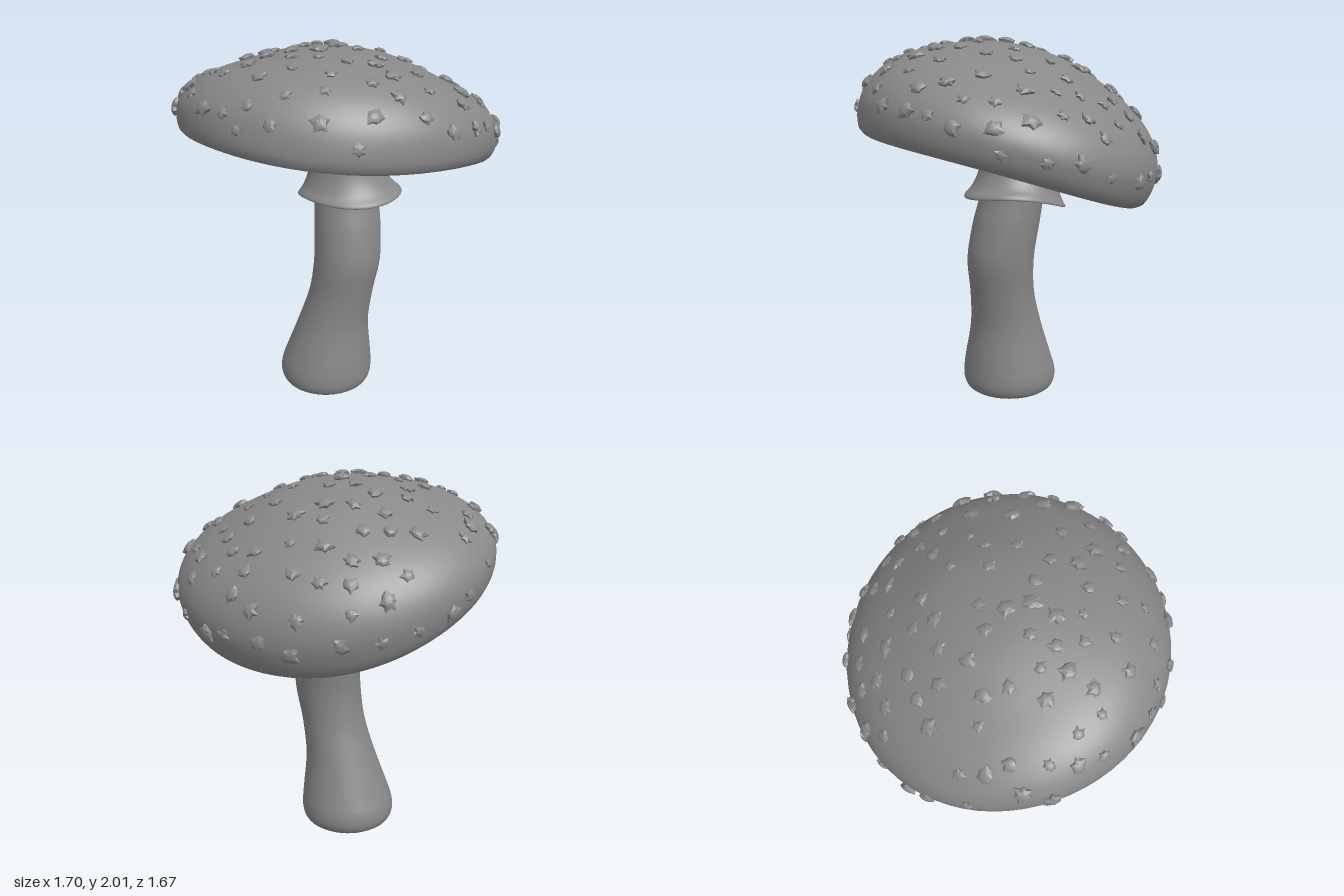
import * as THREE from 'three';

const V2 = (a) => a.map(([x, y]) => new THREE.Vector2(x, y));
const V3 = (a) => a.map((p) => new THREE.Vector3(...p));

// small seeded generator
let seed = 11;
const rnd = () => {
  seed = (seed * 1664525 + 1013904223) % 4294967296;
  return seed / 4294967296;
};

// closed loft: rows run from the bottom up, each a ring of seg points
function loft(rows, seg, point) {
  const pos = [], index = [];
  for (let i = 0; i <= rows; i++)
    for (let j = 0; j < seg; j++) {
      const p = point(i / rows, (j / seg) * Math.PI * 2, i, j);
      pos.push(p.x, p.y, p.z);
    }
  for (let i = 0; i < rows; i++)
    for (let j = 0; j < seg; j++) {
      const k = (j + 1) % seg;
      const a = i * seg + j, b = i * seg + k, c = b + seg, d = a + seg;
      index.push(a, b, c, a, c, d);
    }
  const g = new THREE.BufferGeometry();
  g.setAttribute('position', new THREE.Float32BufferAttribute(pos, 3));
  g.setIndex(index);
  g.computeVertexNormals();
  return g;
}

const color = 0x888888;
const smooth = new THREE.MeshStandardMaterial({ color, side: THREE.DoubleSide });
const faceted = new THREE.MeshStandardMaterial({ color, side: THREE.DoubleSide, flatShading: true });

function part(name, geometry, material = smooth) {
  const m = new THREE.Mesh(geometry, material);
  m.name = name;
  return m;
}

// cap profiles (radius, height)
const capProfile = new THREE.SplineCurve(V2([
  [0.795, -0.018], [0.82, 0.005], [0.838, 0.07], [0.834, 0.17], [0.78, 0.275],
  [0.675, 0.37], [0.5, 0.46], [0.27, 0.545], [0.1, 0.572], [0.0005, 0.575]]));
const gillProfile = new THREE.SplineCurve(V2([
  [0.08, 0.24], [0.2, 0.175], [0.4, 0.11], [0.6, 0.062], [0.73, 0.015], [0.797, -0.016]]));

// warp the rim into a saddle and stretch it along one diagonal
function bend(r, h, a) {
  const s = Math.sin(2 * a), rim = (r / 0.84) * THREE.MathUtils.clamp(1 - h / 0.45, 0, 1);
  const lift = rim * (0.015 - 0.035 * Math.cos(2 * a) - 0.05 * s);
  const q = r * (1 - 0.018 * s);
  return new THREE.Vector3(Math.sin(a) * q * 0.99, h + lift, Math.cos(a) * q);
}
function capPoint(u, a) {
  const p = capProfile.getPointAt(u);
  return bend(p.x, p.y, a);
}

// flat scab with a jagged outline
function wartGeometry(size) {
  const seg = 10 + Math.floor(rnd() * 5);
  const spikes = Array.from({ length: seg }, (_, j) => size * (j % 2 ? 0.65 + rnd() * 0.35 : 0.85 + rnd() * 0.6));
  const rings = [[0.8, -0.3], [1, 0.28], [0.74, 0.5], [0.4, 0.62], [0.001, 0.66]];
  const tip = spikes.map(() => (rnd() - 0.5) * 0.35);
  return loft(rings.length - 1, seg, (u, a, i, j) => {
    const [r, h] = rings[i];
    const s = i < 2 ? spikes[j] : (spikes[j] + size) / 2;
    return new THREE.Vector3(Math.sin(a) * r * s, size * (h + (i === 1 ? tip[j] : 0)), Math.cos(a) * r * s);
  });
}

function buildCap() {
  const cap = new THREE.Group();
  cap.name = 'cap';
  cap.add(part('capSkin', loft(40, 72, (u, a) => capPoint(u, a))));

  // gills: a ridge and a valley for each blade
  const blades = 150;
  cap.add(part('gills', loft(14, blades * 2, (u, a, i, j) => {
    const p = gillProfile.getPoint(u);
    const depth = 0.017 * Math.sin(Math.PI * Math.min(1, 0.12 + u * 0.86));
    return bend(p.x, p.y + (j % 2 ? depth : -depth * 0.4), a + 0.05 * Math.sin(u * 5));
  }), faceted));

  // warts scattered evenly over the skin
  const warts = new THREE.Group();
  warts.name = 'warts';
  const placed = [], up = new THREE.Vector3(0, 1, 0);
  for (let tries = 0; tries < 6000 && placed.length < 112; tries++) {
    const u = 0.1 + rnd() * 0.88, a = rnd() * Math.PI * 2;
    const p = capPoint(u, a);
    if (rnd() > Math.hypot(p.x, p.z) / 0.85) continue;
    if (placed.some((q) => q.distanceTo(p) < 0.115)) continue;
    placed.push(p);
    const along = capPoint(u + 0.005, a).sub(p);
    const around = capPoint(u, a + 0.01).sub(p);
    const wart = part('wart', wartGeometry(0.026 + rnd() * 0.015), faceted);
    wart.position.copy(p);
    wart.quaternion.setFromUnitVectors(up, around.cross(along).normalize());
    warts.add(wart);
  }
  cap.add(warts);

  cap.position.set(0, 1.385, 0.035);
  cap.rotation.set(-0.27, 0, 0.05);
  return cap;
}

function buildStem() {
  const stem = new THREE.Group();
  stem.name = 'stem';
  // centre line x, y, z and radius
  const path = [
    [-0.06, 0, 0.04, 0.228], [-0.06, 0.018, 0.04, 0.25], [-0.06, 0.06, 0.04, 0.265],
    [-0.056, 0.12, 0.04, 0.263], [-0.043, 0.2, 0.04, 0.246], [-0.01, 0.4, 0.035, 0.201],
    [0.038, 0.6, 0.03, 0.18], [0.07, 0.8, 0.02, 0.185], [0.055, 1, -0.007, 0.184],
    [0.035, 1.15, -0.03, 0.176], [0.018, 1.4, -0.055, 0.172], [0.015, 1.66, -0.06, 0.172]];
  const centre = new THREE.CatmullRomCurve3(V3(path.map((p) => p.slice(0, 3))), false, 'catmullrom', 0.5);
  const radius = new THREE.SplineCurve(V2(path.map((p) => [p[3], 0])));
  stem.add(part('stalk', loft(55, 48, (u, a) => {
    const c = centre.getPoint(u), r = radius.getPoint(u).x;
    return new THREE.Vector3(c.x + Math.sin(a) * r, c.y, c.z + Math.cos(a) * r);
  })));
  const sole = part('stalkBase', new THREE.CircleGeometry(0.228, 48).rotateX(Math.PI / 2));
  sole.position.set(-0.06, 0, 0.04);
  stem.add(sole);

  // flared, slightly wavy skirt with a thin lip
  const profile = new THREE.SplineCurve(V2([
    [0.165, 1.24], [0.22, 1.185], [0.27, 1.146], [0.289, 1.138], [0.288, 1.154], [0.25, 1.2],
    [0.215, 1.275], [0.194, 1.37], [0.181, 1.47], [0.176, 1.63]]));
  stem.add(part('skirt', loft(36, 64, (u, a) => {
    const p = profile.getPoint(u), flare = THREE.MathUtils.clamp((p.x - 0.18) / 0.1, 0, 1);
    const dx = Math.sin(a) * p.x, dz = Math.cos(a) * p.x * (1 - 0.07 * flare);
    const lift = flare * (0.1 * dx + 0.08 * dz - 0.022 * Math.sin(2 * a));
    return new THREE.Vector3(0.015 + 0.025 * flare + dx, p.y + lift, -0.055 + dz);
  })));
  return stem;
}

export function createModel() {
  seed = 11;
  const model = new THREE.Group();
  model.name = 'mushroom';
  model.add(buildStem(), buildCap());
  return model;
}
